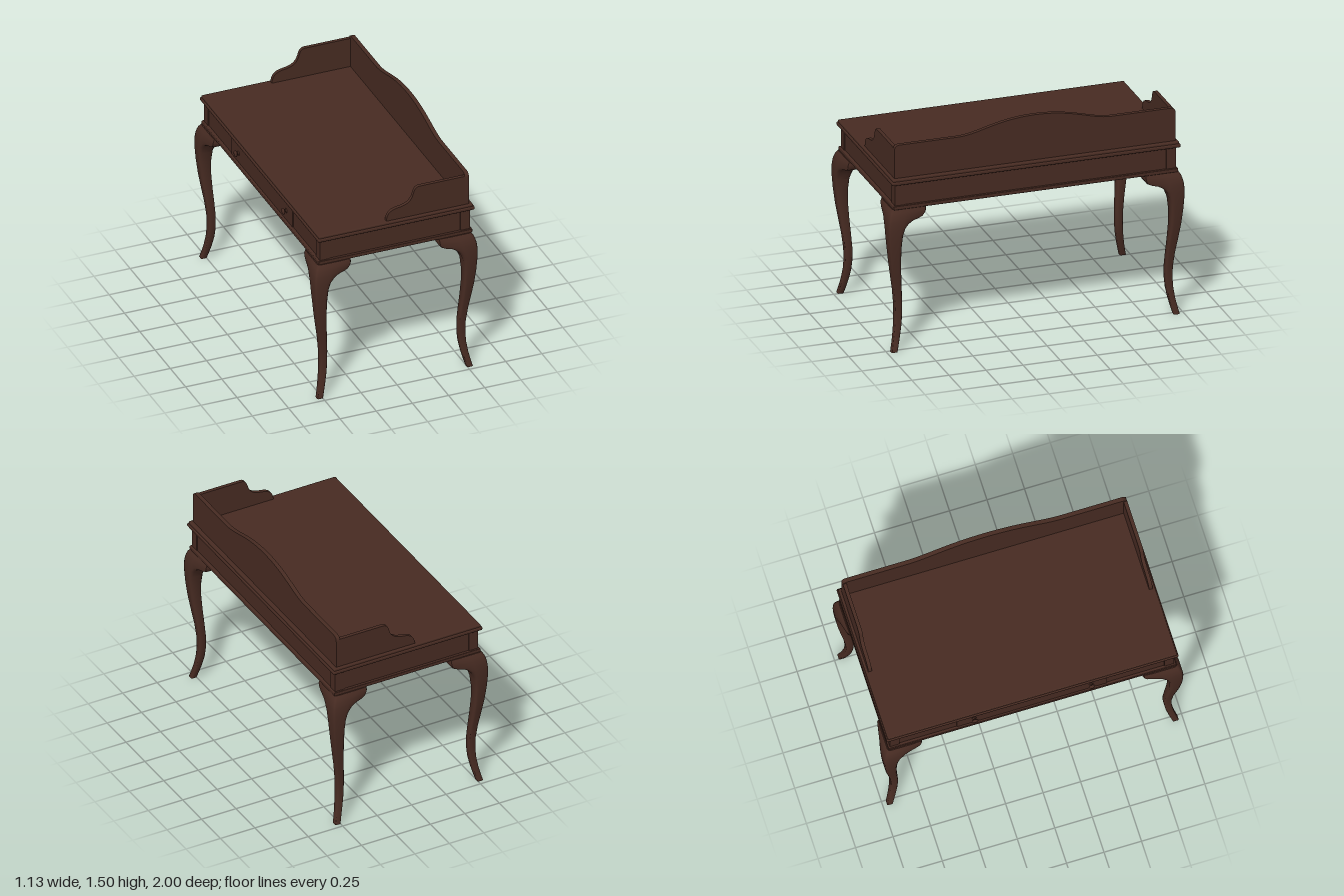
import * as THREE from 'three';
import { toCreasedNormals } from 'three/addons/utils/BufferGeometryUtils.js';
import { RoundedBoxGeometry } from 'three/addons/geometries/RoundedBoxGeometry.js';

const wood = new THREE.MeshStandardMaterial({ color: 0x472b22 });
wood.name = 'dark wood';

function add(parent, name, geometry) {
  const mesh = new THREE.Mesh(geometry, wood);
  mesh.name = name;
  parent.add(mesh);
  return mesh;
}

// Box given by its minimum and maximum on each axis
function box(parent, name, [x0, x1], [y0, y1], [z0, z1], radius = 0) {
  const size = [x1 - x0, y1 - y0, z1 - z0];
  const geometry = radius ? new RoundedBoxGeometry(...size, 2, radius) : new THREE.BoxGeometry(...size);
  const mesh = add(parent, name, geometry);
  mesh.position.set((x0 + x1) / 2, (y0 + y1) / 2, (z0 + z1) / 2);
}

// Closed skin over equal-length rings of points; winding is set so that it faces outward
function loft(rings) {
  const n = rings[0].length;
  const points = rings.flat();
  const tris = [];
  for (let r = 0; r < rings.length - 1; r++) {
    for (let i = 0; i < n; i++) {
      const a = r * n + i, b = r * n + (i + 1) % n;
      tris.push([a, a + n, b], [b, a + n, b + n]);
    }
  }
  const last = (rings.length - 1) * n;
  for (let i = 1; i < n - 1; i++) tris.push([0, i, i + 1], [last, last + i + 1, last + i]);
  let volume = 0;
  for (const [a, b, c] of tris) volume += points[a].dot(points[b].clone().cross(points[c]));
  const geometry = new THREE.BufferGeometry().setFromPoints(points);
  geometry.setIndex(tris.flatMap(([a, b, c]) => (volume > 0 ? [a, b, c] : [a, c, b])));
  return toCreasedNormals(geometry, 0.8);
}

const Z_SHIFT = 0.435; // the leg curves alike in x and z, this far apart

// Cabriole leg: height, inner edge, outer edge; the top spreads into brackets
const legProfile = [
  [0, 0.497, 0.537], [0.05, 0.484, 0.525], [0.1, 0.472, 0.515], [0.17, 0.459, 0.505],
  [0.24, 0.453, 0.501], [0.32, 0.453, 0.503], [0.42, 0.46, 0.514], [0.52, 0.468, 0.53],
  [0.62, 0.474, 0.545], [0.72, 0.474, 0.556], [0.8, 0.466, 0.562], [0.85, 0.449, 0.563],
  [0.882, 0.42, 0.562], [0.9, 0.385, 0.56], [0.909, 0.345, 0.559], [0.92, 0.32, 0.557],
  [0.94, 0.306, 0.552], [0.96, 0.301, 0.545], [0.984, 0.301, 0.53],
];

function makeLeg(sx, sz) {
  return loft(legProfile.map(([y, a, b]) => {
    const s = b - a;
    const spread = THREE.MathUtils.clamp((s - 0.1) / 0.13, 0, 1);
    const cut = s * THREE.MathUtils.lerp(0.14, 0.32, spread);           // bevel of the inner corner
    const tip = THREE.MathUtils.lerp(b, Math.min(b, 0.538), spread);    // bracket ends taper inward
    const edge = 0.08 * Math.min(s, 0.1);
    const shoulder = Math.max(a + 0.3 * s, b - 0.1);
    // Half of the section, from the inner diagonal to the outer corner
    const half = [
      [a, a + cut], [a, tip - 2 * edge], [a + edge, tip - edge / 2],
      [(a + shoulder) / 2, (tip + b) / 2], [shoulder, b],
      [b - 2 * edge, b], [b - 0.6 * edge, b - 0.6 * edge],
    ];
    const mirrored = half.slice(0, -1).reverse().map(([u, w]) => [w, u]);
    return [...half, ...mirrored].map(([u, w]) => new THREE.Vector3(sx * u, y, sz * (w + Z_SHIFT)));
  }));
}

function extrude(shape, depth) {
  return toCreasedNormals(new THREE.ExtrudeGeometry(shape, { depth, bevelEnabled: false, curveSegments: 14 }), 0.6);
}

export function createModel() {
  const desk = new THREE.Group();
  desk.name = 'writingDesk';

  // Table top with a stepped edge
  box(desk, 'topEdge', [-0.532, 0.55], [1.153, 1.178], [-0.973, 0.973], 0.009);
  box(desk, 'tableTop', [-0.524, 0.542], [1.17, 1.193], [-0.965, 0.965], 0.008);

  // Apron with corner posts and lower moulding
  for (const s of [-1, 1]) {
    box(desk, 'sideApron', [-0.47, 0.48], [0.99, 1.16], [s * 0.93 - 0.012, s * 0.93 + 0.012]);
    for (const [x0, x1] of [[-0.512, -0.446], [0.46, 0.526]]) {
      box(desk, 'cornerPost', [x0, x1], [0.985, 1.16], s > 0 ? [0.884, 0.948] : [-0.948, -0.884]);
    }
    box(desk, 'sideMoulding', [-0.524, 0.538], [0.982, 1.008], s > 0 ? [0.918, 0.96] : [-0.96, -0.918], 0.005);
  }
  box(desk, 'frontApron', [-0.505, -0.48], [0.99, 1.16], [-0.9, 0.9]);
  box(desk, 'backApron', [0.495, 0.521], [0.99, 1.16], [-0.9, 0.9]);
  box(desk, 'frontMoulding', [-0.524, -0.48], [0.982, 1.008], [-0.95, 0.95], 0.005);
  box(desk, 'backMoulding', [0.495, 0.538], [0.982, 1.008], [-0.95, 0.95], 0.005);

  // Bottom board, set up inside the apron
  box(desk, 'bottomBoard', [-0.49, 0.5], [1.075, 1.09], [-0.925, 0.925]);

  // One wide drawer with two turned knobs
  box(desk, 'drawerFront', [-0.511, -0.502], [1.01, 1.152], [-0.5, 0.5]);
  const knobProfile = [[0.018, 0], [0.018, 0.003], [0.009, 0.007], [0.008, 0.014], [0.019, 0.019],
    [0.022, 0.024], [0.018, 0.03], [0.009, 0.033], [0, 0.034]].map(([x, y]) => new THREE.Vector2(x, y));
  for (const z of [-0.385, 0.395]) {
    const knob = add(desk, 'drawerKnob', new THREE.LatheGeometry(knobProfile, 18));
    knob.rotation.z = Math.PI / 2;
    knob.position.set(-0.507, 1.076, z);
  }

  // Back board with a curved crest, drawn in z and y
  const back = new THREE.Shape();
  back.moveTo(-0.948, 1.19);
  back.lineTo(0.948, 1.19);
  back.lineTo(0.948, 1.385);
  back.quadraticCurveTo(0.948, 1.42, 0.913, 1.42);
  back.lineTo(0.52, 1.42);
  back.bezierCurveTo(0.38, 1.42, 0.26, 1.503, 0, 1.503);
  back.bezierCurveTo(-0.26, 1.503, -0.38, 1.42, -0.52, 1.42);
  back.lineTo(-0.913, 1.42);
  back.quadraticCurveTo(-0.948, 1.42, -0.948, 1.385);
  const backBoard = add(desk, 'backBoard', extrude(back, 0.028));
  backBoard.rotation.y = -Math.PI / 2;
  backBoard.position.x = 0.518;

  // Scrolled side boards
  const side = new THREE.Shape();
  side.moveTo(-0.053, 1.19);
  side.lineTo(0.492, 1.19);
  side.lineTo(0.492, 1.4);
  side.lineTo(0.18, 1.4);
  side.bezierCurveTo(0.14, 1.4, 0.14, 1.365, 0.128, 1.335);
  side.bezierCurveTo(0.11, 1.29, 0.07, 1.28, 0.03, 1.275);
  side.bezierCurveTo(-0.02, 1.268, -0.05, 1.25, -0.053, 1.19);
  for (const z of [-0.948, 0.924]) {
    add(desk, 'sideBoard', extrude(side, 0.024)).position.z = z;
  }

  // Four legs
  for (const sx of [-1, 1]) for (const sz of [-1, 1]) add(desk, 'leg', makeLeg(sx, sz));
  return desk;
}
